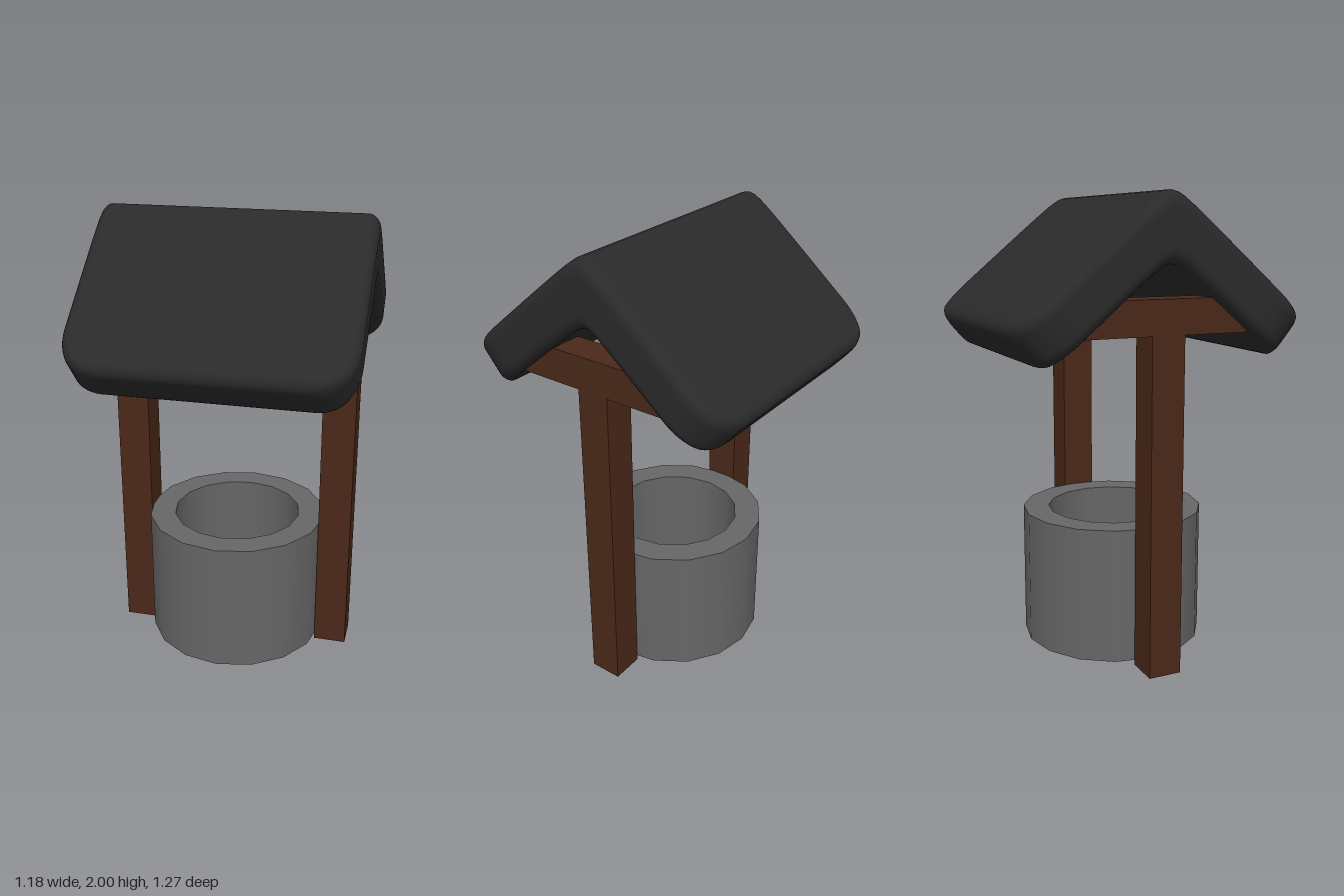
import * as THREE from 'three';
import { mergeGeometries } from 'three/addons/utils/BufferGeometryUtils.js';

const material = (color, side = THREE.FrontSide) => new THREE.MeshStandardMaterial({ color, side });

function addMesh(parent, name, geometry, mat, x = 0, y = 0, z = 0) {
  const mesh = new THREE.Mesh(geometry, mat);
  mesh.name = name;
  mesh.position.set(x, y, z);
  parent.add(mesh);
  return mesh;
}

// Hollow stone ring: each side is its own lathe so the rims stay sharp
function ringGeometry(outer, inner, bottom, top, sides) {
  const p = [[outer, bottom], [outer, top], [inner, top], [inner, bottom], [outer, bottom]]
    .map(([r, y]) => new THREE.Vector2(r, y));
  return mergeGeometries([0, 1, 2, 3].map(i => new THREE.LatheGeometry([p[i], p[i + 1]], sides)));
}

// Rounded rectangle in the (x, thickness) plane, counterclockwise
function section(w, h, r, steps = 6) {
  const points = [];
  [[1, 1], [-1, 1], [-1, -1], [1, -1]].forEach(([sx, sy], q) => {
    for (let k = 0; k <= steps; k++) {
      const a = (q + k / steps) * Math.PI / 2;
      points.push([sx * (w - r) + r * Math.cos(a), sy * (h - r) + r * Math.sin(a)]);
    }
  });
  return points;
}

// Soft slab folded over the ridge, lofted from back eave to front eave
function roofGeometry() {
  const slope = 0.85, ridge = 0.04, angle = Math.atan(slope);
  const halfWidth = 0.592, halfThick = 0.107, edge = 0.05, corner = 0.15, end = 0.586;
  const edgeZ = edge * Math.cos(angle);
  const centreY = z => 1.86 + slope * (ridge - Math.hypot(z, ridge));

  // Stations: even spacing along the slope, then an arc round the corner
  const half = [];
  for (let i = 1; i <= 18; i++) half.push((end - corner) * i / 18);
  for (let i = 1; i <= 12; i++) half.push(end - corner * (1 - Math.sin(i / 12 * Math.PI / 2)));
  const stations = [...half.map(z => -z).reverse(), 0, ...half];

  const inset = (r, t) => r * (1 - Math.sqrt(Math.max(0, 1 - t * t)));
  const loops = stations.map(z => {
    const a = Math.abs(z);
    const w = halfWidth - inset(corner, Math.max(0, (a - end + corner) / corner));
    const h = halfThick - inset(edge, Math.max(0, (a - end + edgeZ) / edgeZ));
    // Sections are upright at the ridge and square to the slope at the eaves
    const lean = Math.sign(z) * THREE.MathUtils.smoothstep(a, 0, 0.42) * Math.sin(angle);
    return section(w, h, edge).map(([x, n]) => {
      const zo = z + n * lean;
      return [x, centreY(zo) + n / Math.cos(angle), zo];
    });
  });
  // Close both eaves on a centre point
  const count = loops[0].length;
  const cap = z => Array.from({ length: count }, () => [0, centreY(z), z]);
  loops.unshift(cap(-end));
  loops.push(cap(end));

  const index = [];
  for (let i = 0; i < loops.length - 1; i++) {
    for (let j = 0; j < count; j++) {
      const k = (j + 1) % count;
      const a = i * count + j, b = i * count + k;
      index.push(a, b, b + count, a, b + count, a + count);
    }
  }
  const geometry = new THREE.BufferGeometry();
  geometry.setAttribute('position', new THREE.Float32BufferAttribute(loops.flat(2), 3));
  geometry.setIndex(index);
  geometry.computeVertexNormals();
  return geometry;
}

export function createModel() {
  const well = new THREE.Group();
  well.name = 'well';
  const wood = material(0x4a2819);
  const stone = material(0x666666);
  const tar = material(0x2a2a2a);

  addMesh(well, 'stoneRing', ringGeometry(0.405, 0.29, 0.02, 0.61, 16), stone);

  // A T-shaped frame on each side
  for (const [side, name] of [[1, 'left'], [-1, 'right']]) {
    const frame = new THREE.Group();
    frame.name = name + 'Frame';
    frame.position.x = side * 0.468;
    addMesh(frame, name + 'Post', new THREE.BoxGeometry(0.145, 1.44, 0.145), wood, 0, 0.72);
    addMesh(frame, name + 'Crossbeam', new THREE.BoxGeometry(0.145, 0.145, 0.84), wood, 0, 1.5125);
    well.add(frame);
  }

  addMesh(well, 'roof', roofGeometry(), tar);
  return well;
}
